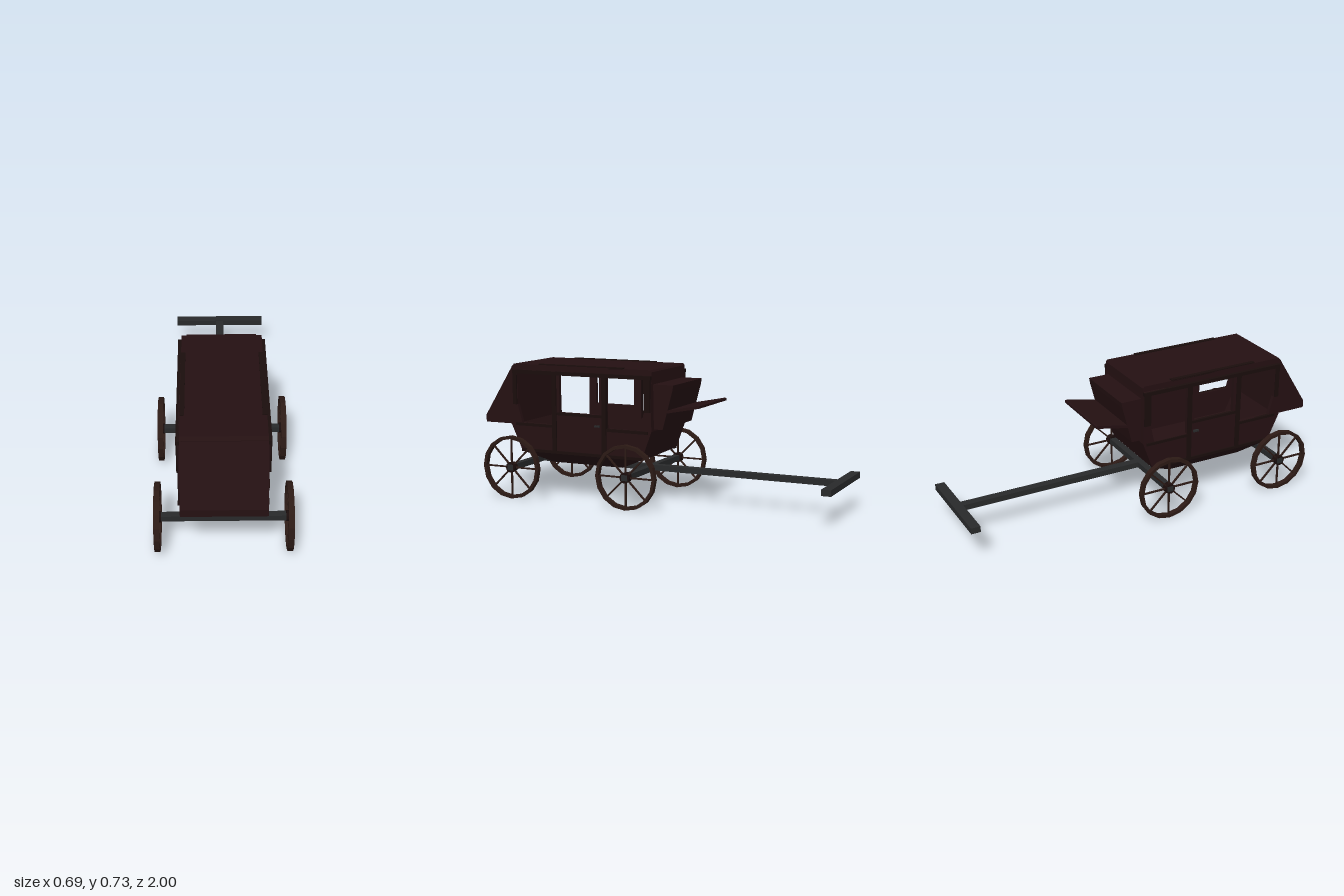
import * as THREE from 'three';

const mat = (color) => new THREE.MeshStandardMaterial({ color, flatShading: true, side: THREE.DoubleSide });

export function createModel() {
  const wood = mat(0x241012), trim = mat(0x1a0d0c), beam = mat(0x28292a), wheelWood = mat(0x2c1a15);
  const model = new THREE.Group();

  const add = (name, geometry, material, parent = model) => {
    const mesh = new THREE.Mesh(geometry, material);
    mesh.name = name;
    parent.add(mesh);
    return mesh;
  };
  // Box given by its limits on each axis
  const box = (name, [x0, x1], [y0, y1], [z0, z1], material, parent) =>
    add(name, new THREE.BoxGeometry(x1 - x0, y1 - y0, z1 - z0), material, parent)
      .position.set((x0 + x1) / 2, (y0 + y1) / 2, (z0 + z1) / 2);
  // Side profile of [z, y] points, extruded across x from x0 to x1
  const profile = (name, points, x0, x1, material, holes = []) => {
    const toPoints = (list) => list.map(([z, y]) => new THREE.Vector2(z, y));
    const shape = new THREE.Shape(toPoints(points));
    shape.holes = holes.map((h) => new THREE.Path(toPoints(h)));
    const g = new THREE.ExtrudeGeometry(shape, { depth: x1 - x0, bevelEnabled: false });
    g.rotateY(-Math.PI / 2).translate(x1, 0, 0);
    return add(name, g, material);
  };

  // Side walls with three window openings, plus raised trim
  const wall = [[0.815, 0.69], [0.82, 0.5], [0.83, 0.39], [0.765, 0.25], [0.035, 0.25], [-0.02, 0.4], [-0.015, 0.69]];
  const windows = [
    [[0.79, 0.67], [0.57, 0.67], [0.57, 0.4], [0.762, 0.4], [0.79, 0.5]],
    [[0.527, 0.67], [0.286, 0.67], [0.286, 0.47], [0.527, 0.47]],
    [[0.243, 0.67], [0.024, 0.67], [0.024, 0.5], [0.045, 0.4], [0.243, 0.4]],
  ];
  for (const s of [-1, 1]) {
    const across = (a, b) => (s > 0 ? [a, b] : [-b, -a]);
    profile('sideWall', wall, ...across(0.195, 0.216), wood, windows);
    box('topRail', across(0.2, 0.225), [0.67, 0.69], [-0.018, 0.817], trim);
    for (const [z0, z1] of [[0.545, 0.57], [0.243, 0.268], [0.792, 0.815], [-0.015, 0.022]])
      box('windowPost', across(0.205, 0.224), [z0 > 0.7 || z0 < 0 ? 0.5 : 0.25, 0.68], [z0, z1], trim);
    box('frontSill', across(0.205, 0.222), [0.385, 0.4], [0.57, 0.8], trim);
    box('rearSill', across(0.205, 0.222), [0.385, 0.4], [0.0, 0.243], trim);
    box('doorSill', across(0.205, 0.22), [0.455, 0.47], [0.268, 0.545], trim);
    box('doorHandle', across(0.214, 0.228), [0.405, 0.415], [0.28, 0.31], beam);
    box('bottomRail', across(0.2, 0.224), [0.245, 0.26], [0.037, 0.764], trim);
    box('roofRail', across(0.185, 0.207), [0.715, 0.725], [0.15, 0.66], trim);
  }

  // End walls, roof and the sloping luggage boot
  profile('frontLowerWall', [[0.83, 0.39], [0.765, 0.25], [0.745, 0.25], [0.81, 0.39]], -0.216, 0.216, wood);
  profile('backWall', [[-0.015, 0.7], [-0.02, 0.4], [0.035, 0.25], [0.055, 0.25], [0, 0.4], [0.005, 0.7]], -0.207, 0.207, wood);
  profile('roof', [[0.83, 0.67], [0.83, 0.705], [0.815, 0.72], [-0.01, 0.72], [-0.018, 0.71], [-0.018, 0.67]], -0.207, 0.207, wood);
  profile('boot', [[0.81, 0.715], [0.825, 0.71], [1.0, 0.43], [1.0, 0.39], [0.81, 0.39]], -0.207, 0.207, wood);

  // Underside narrowing toward the bottom
  const hull = new THREE.BoxGeometry(2, 1, 2);
  const p = hull.attributes.position;
  for (let i = 0; i < p.count; i++) {
    const top = p.getY(i) > 0, front = p.getZ(i) > 0;
    const z = front ? (top ? 0.765 : 0.595) : (top ? 0.035 : 0.17);
    p.setXYZ(i, p.getX(i) * (top ? 0.224 : 0.175), top ? 0.25 : 0.19, z);
  }
  hull.computeVertexNormals();
  add('underside', hull, wood);

  // Driver's box and its sloping board
  profile('driverBox', [[-0.01, 0.645], [-0.13, 0.645], [-0.125, 0.615], [-0.07, 0.41], [-0.01, 0.41]], -0.185, 0.185, wood);
  profile('driverBoard', [[-0.09, 0.497], [-0.09, 0.512], [-0.265, 0.547], [-0.275, 0.545], [-0.275, 0.533]], -0.185, 0.185, wood);

  // Draw pole and crossbar
  box('drawPole', [-0.022, 0.022], [0.158, 0.188], [-0.96, 0.765], beam);
  box('crossbar', [-0.258, 0.258], [0.157, 0.189], [-1, -0.95], beam);

  // Axles and wheels
  const R = 0.172, sides = 16;
  const ring = new THREE.Shape();
  const hole = new THREE.Path();
  for (let i = 0; i < sides; i++) {
    const a = (i / sides) * Math.PI * 2, c = Math.cos(a), s = Math.sin(a);
    ring[i ? 'lineTo' : 'moveTo'](R * c, R * s);
    hole[i ? 'lineTo' : 'moveTo'](0.155 * c, 0.155 * s);
  }
  ring.holes.push(hole);
  const rimGeometry = new THREE.ExtrudeGeometry(ring, { depth: 0.028, bevelEnabled: false });
  rimGeometry.translate(0, 0, -0.014).rotateY(Math.PI / 2);
  const hubGeometry = new THREE.CylinderGeometry(0.028, 0.028, 0.034, 10).rotateZ(Math.PI / 2);
  const spokeGeometry = new THREE.BoxGeometry(0.009, 0.145, 0.008).translate(0, 0.088, 0);

  for (const z of [0.765, 0.075]) {
    box('axle', [-0.343, 0.343], [0.157, 0.188], [z - 0.018, z + 0.018], beam);
    for (const s of [-1, 1]) {
      const wheel = new THREE.Group();
      wheel.name = 'wheel';
      wheel.position.set(s * 0.325, R, z);
      add('rim', rimGeometry, wheelWood, wheel);
      add('hub', hubGeometry, trim, wheel);
      for (let i = 0; i < 8; i++)
        add('spoke', spokeGeometry, wheelWood, wheel).rotation.x = (i * Math.PI) / 4;
      model.add(wheel);
    }
  }
  return model;
}
